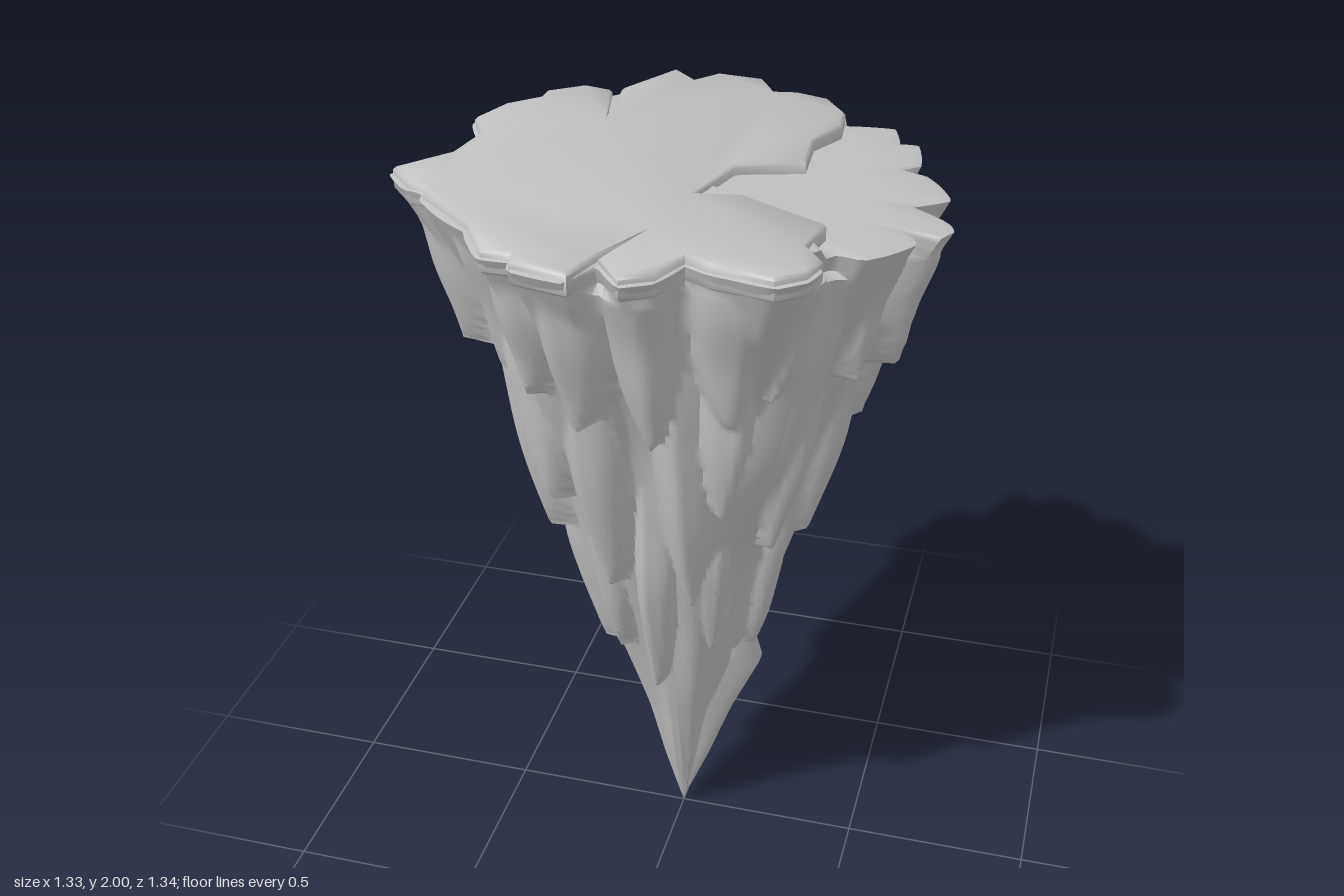
import * as THREE from 'three';
import { toCreasedNormals } from 'three/addons/utils/BufferGeometryUtils.js';

const rock = new THREE.MeshStandardMaterial({ color: 0xc0c0c0 });
rock.name = 'grey rock';

// Small seeded generator giving values in -1..1
let seed = 7;
const rnd = () => {
  seed = (seed * 16807) % 2147483647;
  return (seed / 2147483647) * 2 - 1;
};

// Skin over closed rings, listed from top to bottom
function loft(rings) {
  const n = rings[0].length, index = [];
  for (let i = 0; i < rings.length - 1; i++) {
    for (let j = 0; j < n; j++) {
      const k = (j + 1) % n, a = i * n, b = a + n;
      index.push(a + j, a + k, b + j, a + k, b + k, b + j);
    }
  }
  const g = new THREE.BufferGeometry();
  g.setAttribute('position', new THREE.Float32BufferAttribute(rings.flat(2), 3));
  g.setIndex(index);
  return toCreasedNormals(g, Math.PI / 3);
}

// Linear reading of a sorted list of [position, value]
function read(list, x) {
  for (let i = 1; i < list.length; i++) {
    const [x0, v0] = list[i - 1], [x1, v1] = list[i];
    if (x <= x1) return v0 + (v1 - v0) * (x - x0) / (x1 - x0 || 1);
  }
  return list[list.length - 1][1];
}

// Top outlines as x, z: raised plateau and the sunken wedge beside it
const MAIN = [
  [0.38, 0.39], [0.43, 0.46], [0.41, 0.53], [0.35, 0.58], [0.25, 0.56], [0.2, 0.55], [0.14, 0.52], [0.1, 0.62],
  [0.03, 0.66], [-0.04, 0.57], [0.02, 0.41], [-0.05, 0.58], [-0.08, 0.67], [-0.22, 0.64], [-0.23, 0.6], [-0.3, 0.6],
  [-0.38, 0.47], [-0.54, 0.33], [-0.55, 0.29], [-0.6, 0.28], [-0.67, 0.2], [-0.57, 0.07], [-0.55, -0.07], [-0.6, -0.17],
  [-0.56, -0.29], [-0.49, -0.36], [-0.49, -0.41], [-0.4, -0.48], [-0.32, -0.46], [-0.275, -0.26], [-0.3, -0.48],
  [-0.2, -0.67], [-0.13, -0.6], [-0.08, -0.665], [0.05, -0.65], [0.1, -0.56], [0.16, -0.57], [0.25, -0.54], [0.31, -0.45],
  [0.32, -0.35], [0.27, -0.24], [0.28, -0.09], [0.12, -0.02], [0.07, 0.17], [0.18, 0.15], [0.4, 0.27],
];
const WEDGE = [
  [0.43, 0.32], [0.49, 0.33], [0.54, 0.28], [0.59, 0.2], [0.56, 0.15], [0.63, 0.16], [0.66, 0.1], [0.64, 0.06],
  [0.55, 0], [0.63, -0.07], [0.59, -0.15], [0.55, -0.2], [0.48, -0.21], [0.53, -0.25], [0.46, -0.37], [0.5, -0.4],
  [0.43, -0.48],
];
// Rim radius by angle, from the outer points of both outlines
const rim = [...MAIN, ...WEDGE].map(([x, z]) => [Math.atan2(z, x), Math.hypot(x, z)])
  .filter(([, r]) => r > 0.5).sort((p, q) => p[0] - q[0]);
rim.unshift([rim[rim.length - 1][0] - Math.PI * 2, rim[rim.length - 1][1]]);
rim.push([rim[1][0] + Math.PI * 2, rim[1][1]]);

function topHeight(x, z) {
  const a = Math.atan2(z, x);
  return a > -0.97 && a < 0.72 ? 1.975 - 0.05 * Math.max(0, x - 0.1) : 1.985;
}

// Rim shards: peak x, peak z, half width, tip height
const RIM = [
  [0.66, 0.1, 0.075, 1.6], [0.63, -0.06, 0.12, 1.38], [0.53, -0.25, 0.09, 1.68], [0.48, -0.43, 0.1, 1.55],
  [0.23, -0.55, 0.14, 1.4], [0, -0.66, 0.13, 1.5], [-0.2, -0.66, 0.08, 1.6], [-0.39, -0.47, 0.13, 1.45],
  [-0.57, -0.22, 0.15, 1.4], [-0.57, -0.02, 0.1, 1.6], [-0.65, 0.2, 0.13, 1.55], [-0.46, 0.41, 0.14, 1.58],
  [-0.3, 0.59, 0.11, 1.6], [-0.14, 0.66, 0.11, 1.54], [0.04, 0.65, 0.1, 1.5], [0.29, 0.56, 0.14, 1.55],
  [0.41, 0.45, 0.09, 1.6], [0.49, 0.32, 0.09, 1.37], [0.58, 0.2, 0.07, 1.6],
];
// Lower shards: tip x, tip z, half width, top height, tip height
const LOWER = [
  [-0.335, 0.13, 0.12, 1.85, 1.02], [-0.12, 0.31, 0.13, 1.9, 0.97], [0.09, 0.32, 0.12, 1.85, 0.94],
  [0.29, 0.17, 0.12, 1.85, 1.08], [0.33, -0.04, 0.12, 1.8, 1.02], [0.17, -0.25, 0.12, 1.8, 0.88],
  [0.32, -0.25, 0.11, 1.9, 1.2], [0, -0.36, 0.13, 1.9, 1.15], [-0.22, -0.24, 0.13, 1.85, 1.02],
  [-0.4, -0.06, 0.11, 1.9, 1.22], [-0.27, 0.33, 0.11, 1.9, 1.22], [0.2, 0.37, 0.11, 1.9, 1.25],
  [-0.21, 0.05, 0.08, 1.35, 0.6], [0, 0.2, 0.08, 1.35, 0.57], [-0.11, 0.19, 0.07, 1.3, 0.68],
  [0.1, 0.18, 0.07, 1.3, 0.7], [0.2, 0.06, 0.08, 1.25, 0.66], [-0.14, -0.17, 0.07, 1.35, 0.74],
];

// Inner spike radius by height, and shard width from top to tip
const CORE = [[0, 0], [0.2, 0.055], [0.4, 0.1], [0.6, 0.155], [1, 0.27], [1.4, 0.388], [1.7, 0.475], [2, 0.55]];
const TAPER = [[0, 1.05], [0.2, 1], [0.4, 0.9], [0.55, 0.8], [0.7, 0.62], [0.84, 0.4], [0.94, 0.2], [1, 0.03]];

const vary = (s) => ({ ...s, sway: rnd() * 0.03, ridge: rnd() * 0.35, phase: rnd() * 3 });
const shards = [
  ...RIM.map(([x, z, half, tip]) => {
    const r = Math.hypot(x, z) - 0.006;
    return vary({ angle: Math.atan2(z, x), r0: r, r1: r - (2 - tip) * 0.28, top: 2, tip, half, swell: 0 });
  }),
  ...LOWER.map(([x, z, half, top, tip]) => vary({
    angle: Math.atan2(z, x), r0: read(CORE, top) - 0.05, r1: Math.hypot(x, z), top, tip, half, swell: 0.045,
  })),
];

// Front surface of one shard at an angle and height: a ridge falling away on both sides
function shardRadius(s, a, y) {
  const t = (s.top - y) / (s.top - s.tip);
  if (t < 0 || t > 1) return 0;
  const r = s.r0 + (s.r1 - s.r0) * t + s.swell * Math.sin(Math.PI * t) + 0.008 * Math.sin(t * 10 + s.phase) * (1 - t);
  const d = Math.atan2(Math.sin(a - s.angle), Math.cos(a - s.angle)) * r - s.sway * t * t;
  const hw = s.half * read(TAPER, t), u = d / hw;
  const q = Math.abs(u - s.ridge * Math.max(0, 1 - u * u));
  return Math.max(0, r - hw * (0.35 * q + 0.55 * u * u * u * u));
}

function rockRadius(a, y) {
  const flutes = 1 + 0.05 * Math.sin(5 * a + 2.5 * y) + 0.035 * Math.sin(9 * a - 3 * y) + 0.02 * Math.sin(3 * a + 9 * y);
  const core = read(CORE, y) * (1 + (flutes - 1) * Math.min(1, (2 - y) * 3));
  const collar = read(rim, a) * (1 - 0.8 * (1.985 - y));
  return y > 1.94 ? collar : Math.max(core, collar, ...shards.map((s) => shardRadius(s, a, y)));
}

// Cap rings from the centre out, then the craggy side down to the tip
function body() {
  const rings = [], n = 240, rows = 140;
  const angles = Array.from({ length: n }, (_, j) => (j / n) * Math.PI * 2 - Math.PI);
  for (const s of [0, 0.25, 0.5, 0.75, 0.96]) {
    rings.push(angles.map((a) => {
      const r = read(rim, a) * s, x = Math.cos(a) * r, z = Math.sin(a) * r;
      return [x, topHeight(x, z), z];
    }));
  }
  for (let i = 0; i <= rows; i++) {
    rings.push(angles.map((a) => {
      const edge = read(rim, a);
      const top = topHeight(Math.cos(a) * edge, Math.sin(a) * edge) - 0.006;
      const f = 1 - i / rows, r = rockRadius(a, 1.985 * f);
      return [Math.cos(a) * r, top * f, Math.sin(a) * r];
    }));
  }
  return loft(rings);
}

function plateau() {
  const shape = new THREE.Shape(MAIN.map(([x, z]) => new THREE.Vector2(x * 0.985, -z * 0.985)));
  const g = new THREE.ExtrudeGeometry(shape, {
    depth: 0.045, bevelThickness: 0.008, bevelSize: 0.008, bevelOffset: -0.008, bevelSegments: 1,
  });
  g.rotateX(-Math.PI / 2).translate(0, 1.947, 0);
  return toCreasedNormals(g, Math.PI / 3);
}

// Blunt ledge low on the left side, with a ridge running to the tip
function ledge() {
  const steps = [[1.1, 0.2, 0.06], [0.85, 0.22, 0.08], [0.66, 0.19, 0.08], [0.57, 0.22, 0.06], [0.4, 0.145, 0.05], [0.2, 0.075, 0.03], [0.06, 0.02, 0.01]];
  return loft(steps.map(([y, r, w]) =>
    [[0.02, -w], [r * 0.8, -w], [r, -w * 0.4], [r, w * 0.3], [r * 0.8, w], [0.02, w]].map(([x, z]) => [x, y, z])));
}

export function createModel() {
  const model = new THREE.Group();
  model.name = 'stalactite';
  for (const [name, geometry] of [['rockBody', body()], ['topPlateau', plateau()], ['sideLedge', ledge()]]) {
    const mesh = new THREE.Mesh(geometry, rock);
    mesh.name = name;
    model.add(mesh);
  }
  return model;
}
